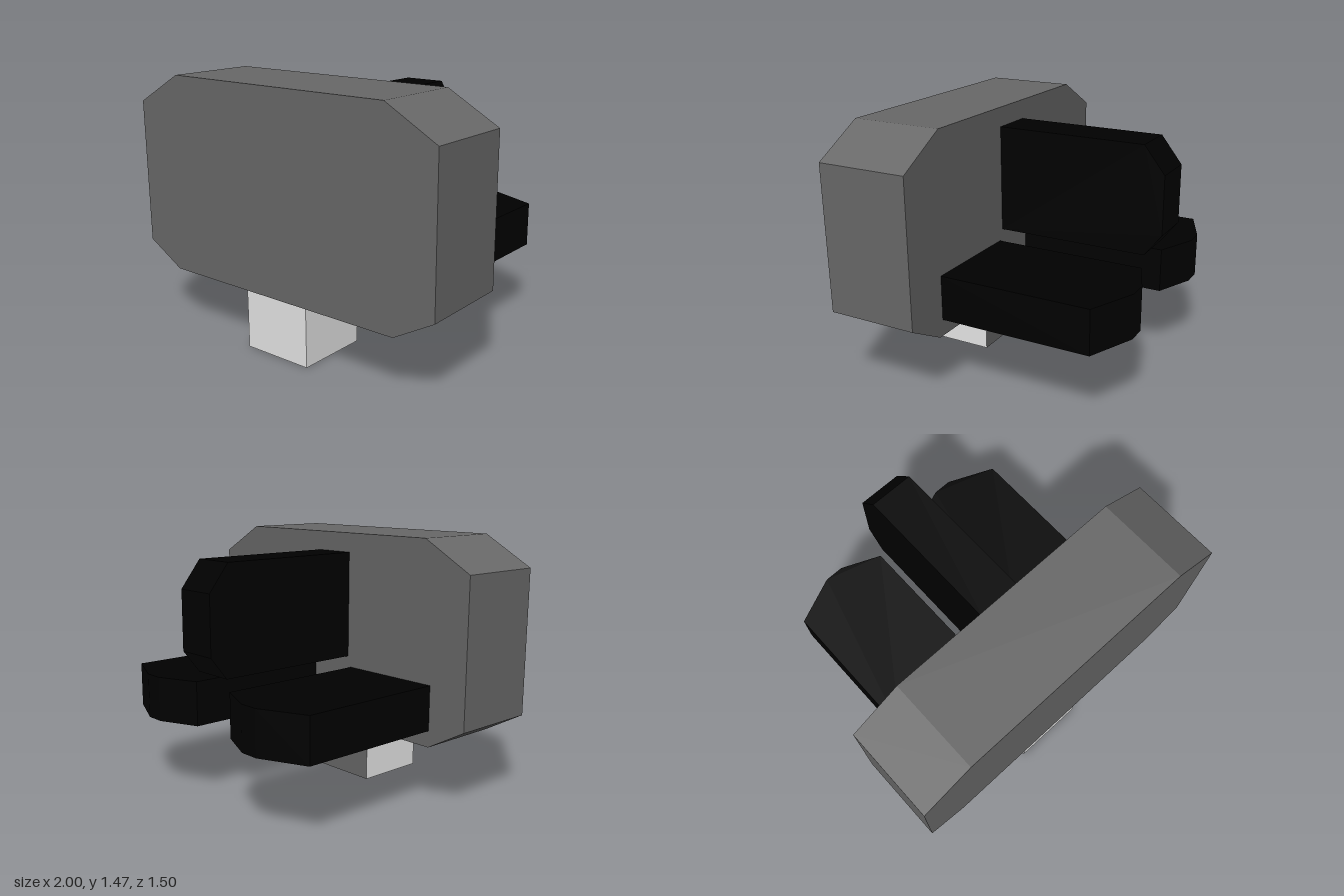
import * as THREE from 'three';

// Straight prism from a 2D outline
function prism(points, depth) {
  const shape = new THREE.Shape(points.map(([x, y]) => new THREE.Vector2(x, y)));
  return new THREE.ExtrudeGeometry(shape, { depth, bevelEnabled: false });
}

// Give triangles whose normal passes the test the second material
function paintFaces(geometry, test) {
  const normal = geometry.attributes.normal;
  geometry.clearGroups();
  for (let i = 0; i < normal.count; i += 3) {
    geometry.addGroup(i, 3, test(normal.getY(i), normal.getZ(i)) ? 1 : 0);
  }
  return geometry;
}

const facesDown = (ny) => ny < -0.9;
const facesDownOrBack = (ny, nz) => ny < -0.9 || nz < -0.9;

export function createModel() {
  const group = new THREE.Group();
  const material = (name, color) => {
    const m = new THREE.MeshStandardMaterial({ color });
    m.name = name;
    return m;
  };
  const bodyGrey = material('body grey', 0x686868);
  const prongBlack = material('prong black', 0x000000);
  const stubGrey = material('light grey', 0xe6e6e6);

  const add = (name, geometry, mat) => {
    const mesh = new THREE.Mesh(geometry, mat);
    mesh.name = name;
    group.add(mesh);
  };

  // Plug body: block with clipped corners
  const body = prism([
    [-0.765, 0.345], [0.765, 0.345], [1, 0.478], [1, 1.3],
    [0.703, 1.468], [-0.703, 1.468], [-1, 1.3], [-1, 0.478],
  ], 0.522);
  add('body', body.translate(0, 0, 0.228), bodyGrey);

  // Cable stub under the body, with grey back and underside
  const stub = new THREE.BoxGeometry(0.425, 0.345, 0.422).toNonIndexed();
  stub.translate(-0.022, 0.1725, 0.515);
  add('cableStub', paintFaces(stub, facesDownOrBack), [stubGrey, bodyGrey]);

  // Two flat prongs with grey undersides, mirrored about the prong centre line
  const centre = -0.015;
  for (const side of [-1, 1]) {
    const outline = [
      [0.15, -0.228], [0.75, -0.228], [0.75, 0.635],
      [0.485, 0.75], [0.375, 0.75], [0.15, 0.653],
    ].map(([x, y]) => [centre + side * x, y]);
    const prong = prism(outline, 0.252).rotateX(-Math.PI / 2).translate(0, 0.438, 0);
    add(side > 0 ? 'leftProng' : 'rightProng', paintFaces(prong, facesDown), [prongBlack, bodyGrey]);
  }

  // Upright earth prong
  const earth = prism([
    [-0.228, 0.753], [0.652, 0.753], [0.75, 0.878],
    [0.75, 1.208], [0.632, 1.358], [-0.228, 1.358],
  ], 0.25).rotateY(Math.PI / 2).translate(-0.143, 0, 0);
  add('earthProng', paintFaces(earth, facesDown), [prongBlack, bodyGrey]);

  return group;
}
